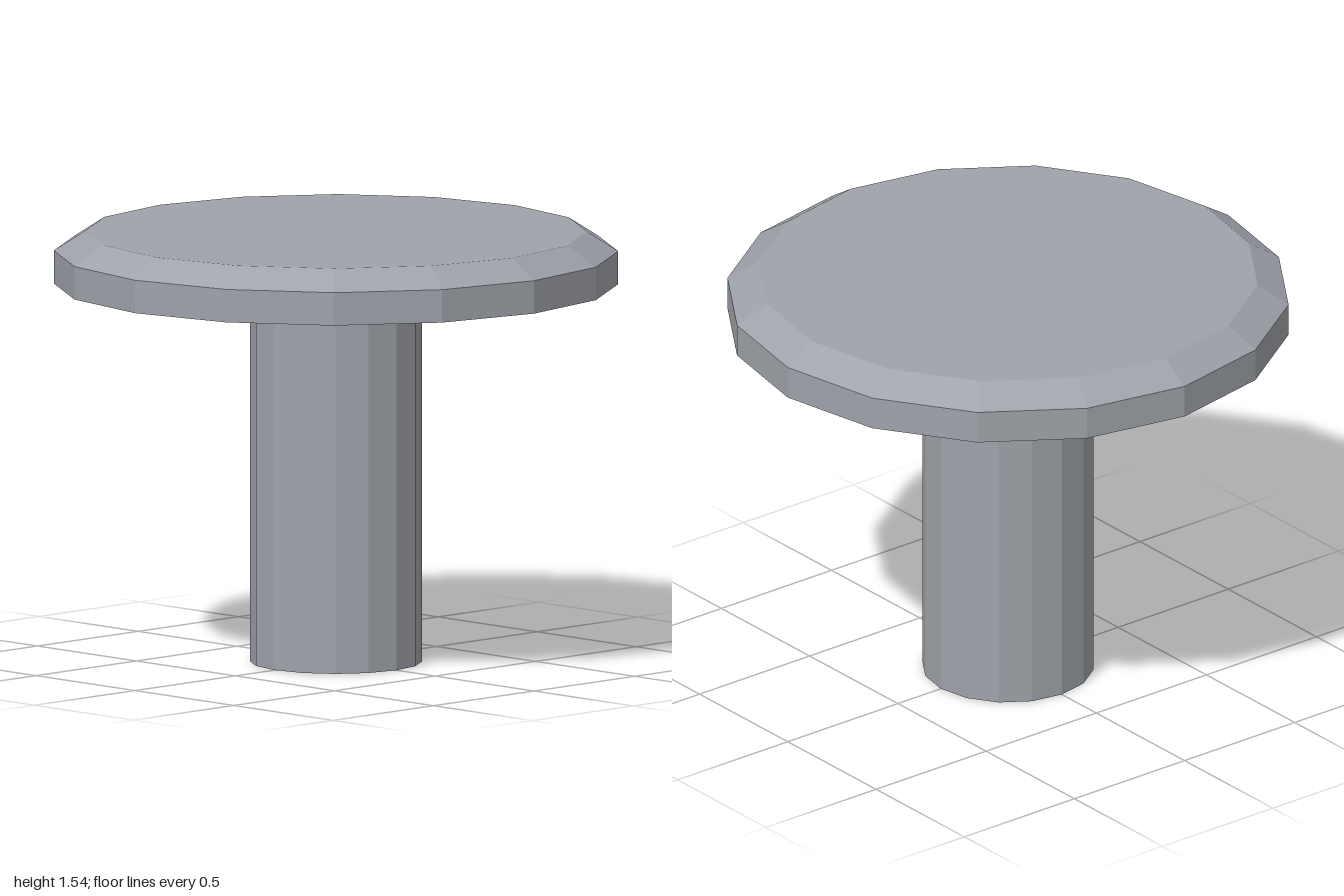
import * as THREE from 'three';

const SIDES = 16;

// Faceted solid of revolution; profile runs from the bottom up as [radius, y]
function turned(name, profile, material) {
  const points = profile.map(([r, y]) => new THREE.Vector2(r, y));
  const mesh = new THREE.Mesh(new THREE.LatheGeometry(points, SIDES), material);
  mesh.name = name;
  return mesh;
}

export function createModel() {
  const group = new THREE.Group();
  group.name = 'mushroomHeadPin';
  const steel = new THREE.MeshStandardMaterial({ color: 0x9fa3aa, flatShading: true });

  // Straight shaft, closed at the foot and open where it meets the head
  group.add(turned('shaft', [[0, 0], [0.305, 0], [0.305, 1.33]], steel));

  // Wide head: slightly sloped underside, upright rim, chamfer, flat top
  group.add(turned('head', [[0.305, 1.33], [1, 1.352], [1, 1.47], [0.89, 1.54], [0, 1.54]], steel));

  return group;
}
